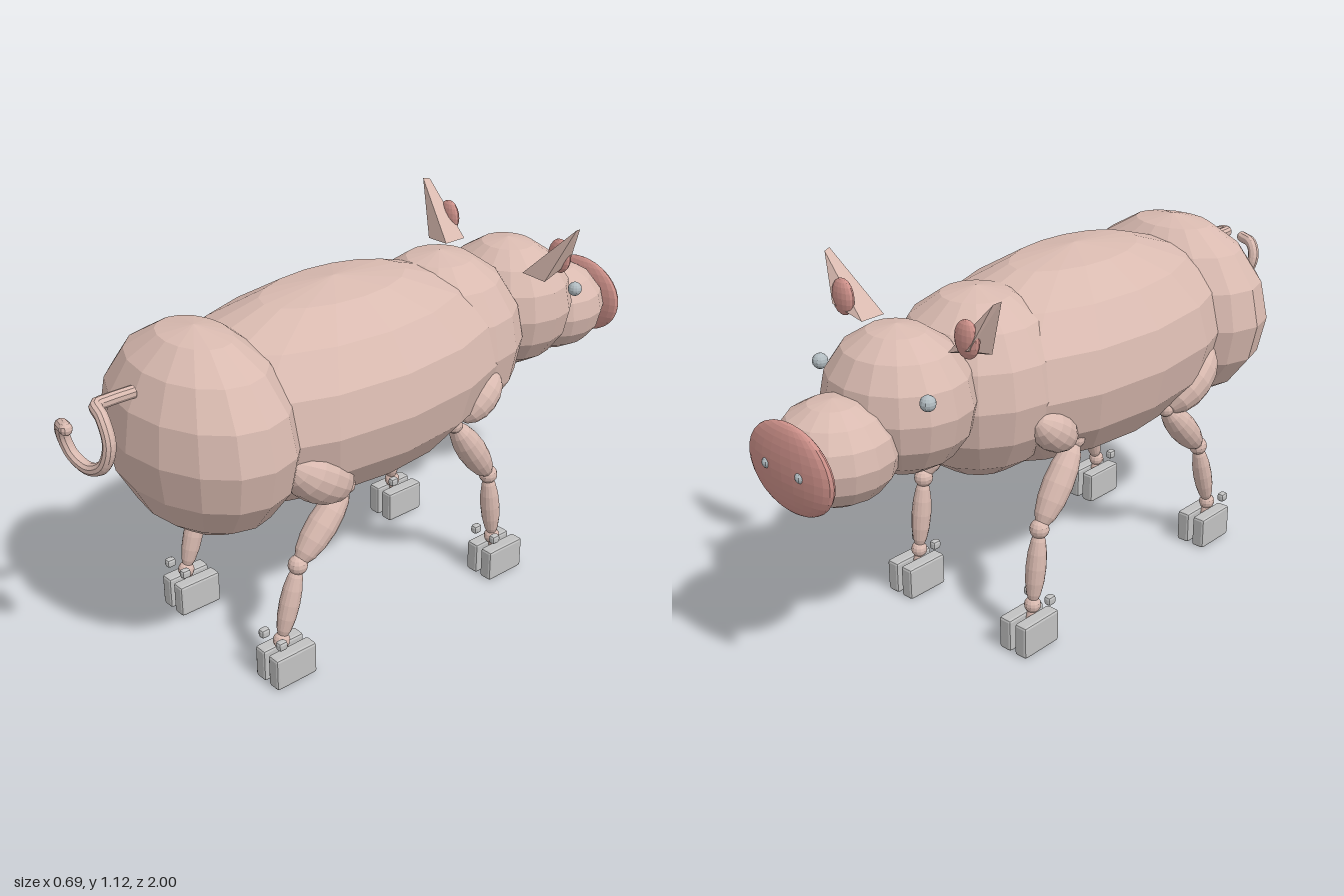
import * as THREE from 'three';
import { RoundedBoxGeometry } from 'three/addons/geometries/RoundedBoxGeometry.js';
import { ConvexGeometry } from 'three/addons/geometries/ConvexGeometry.js';

const material = (name, color, flatShading = true) => {
  const m = new THREE.MeshStandardMaterial({ color, flatShading });
  m.name = name;
  return m;
};

export function createModel() {
  const skin = material('skin', 0xd9bab0);
  const pink = material('pink', 0xcf928b);
  const horn = material('hoofGrey', 0xc2c2c2);
  const bead = material('eyeGrey', 0xb2bcc1);
  const pig = new THREE.Group();
  pig.name = 'pig';

  const add = (parent, name, geometry, mat, pos = [0, 0, 0]) => {
    const mesh = new THREE.Mesh(geometry, mat);
    mesh.name = name;
    mesh.position.set(...pos);
    parent.add(mesh);
    return mesh;
  };
  // Faceted ellipsoid with half-sizes r
  const blob = (parent, name, pos, r, mat = skin, w = 16, h = 8) =>
    add(parent, name, new THREE.SphereGeometry(1, w, h).scale(...r), mat, pos);
  // Long ellipsoid stretched between two points in the yz plane
  const limb = (parent, name, x, [z1, y1], [z2, y2], radius) => {
    const a = new THREE.Vector3(x, y1, z1), b = new THREE.Vector3(x, y2, z2);
    const d = b.clone().sub(a);
    const mid = a.add(b).multiplyScalar(0.5);
    const mesh = blob(parent, name, mid.toArray(), [radius, d.length() / 2, radius]);
    mesh.quaternion.setFromUnitVectors(new THREE.Vector3(0, 1, 0), d.normalize());
  };

  // Trunk, from rump to throat
  blob(pig, 'rump', [0, 0.74, 0.585], [0.34, 0.3, 0.235]);
  blob(pig, 'belly', [0, 0.742, 0.11], [0.345, 0.313, 0.64]);
  blob(pig, 'shoulders', [0, 0.753, -0.3], [0.262, 0.277, 0.26]);
  blob(pig, 'throat', [0, 0.62, -0.42], [0.14, 0.06, 0.09]);

  // Head and snout
  blob(pig, 'head', [0, 0.793, -0.595], [0.222, 0.208, 0.2]);
  blob(pig, 'snout', [0, 0.717, -0.82], [0.17, 0.145, 0.17]);
  blob(pig, 'noseDisc', [0, 0.717, -0.962], [0.165, 0.125, 0.033], pink, 24, 16);

  // Curly tail
  const tailPath = new THREE.CatmullRomCurve3([
    [0, 0.908, 0.78], [0, 0.908, 0.86], [0.005, 0.907, 0.895], [0.05, 0.892, 0.905],
    [0.082, 0.83, 0.91], [0.062, 0.765, 0.92], [0.01, 0.74, 0.933], [-0.045, 0.763, 0.947],
    [-0.065, 0.815, 0.958], [-0.045, 0.858, 0.97], [0, 0.868, 0.982],
  ].map((p) => new THREE.Vector3(...p)));
  add(pig, 'tail', new THREE.TubeGeometry(tailPath, 48, 0.018, 10), skin);
  blob(pig, 'tailTip', [0, 0.868, 0.982], [0.018, 0.018, 0.018], skin, 10, 6);

  // Leg points are [z, y]
  const legs = [
    { name: 'hindLeg', hip: [0.475, 0.685], thighEnd: [0.265, 0.535], thigh: 0.08,
      knee: [0.267, 0.54], hock: [0.445, 0.35], ankle: [0.51, 0.125], hoof: 0.495, claw: 0.54 },
    { name: 'foreLeg', hip: [-0.32, 0.705], thighEnd: [-0.175, 0.59], thigh: 0.06,
      knee: [-0.15, 0.585], hock: [-0.305, 0.36], ankle: [-0.335, 0.125], hoof: -0.35, claw: -0.305 },
  ];

  for (const side of [-1, 1]) {
    const label = side > 0 ? 'left' : 'right';

    // Face details
    blob(pig, label + 'Eye', [side * 0.209, 0.865, -0.685], [0.022, 0.022, 0.022], bead, 12, 8);
    blob(pig, label + 'Nostril', [side * 0.065, 0.722, -0.984], [0.016, 0.016, 0.016], bead, 12, 8);

    // Ear: tapered slanted plate with a pink inside
    const ear = [
      [0.165, 0.955, -0.49], [0.165, 0.955, -0.57], [0.26, 0.99, -0.59], [0.25, 0.95, -0.495],
      [0.325, 1.122, -0.535], [0.318, 1.118, -0.558],
    ].map(([x, y, z]) => new THREE.Vector3(side * x, y, z));
    add(pig, label + 'Ear', new ConvexGeometry(ear), skin);
    blob(pig, label + 'InnerEar', [side * 0.237, 1.01, -0.57], [0.042, 0.053, 0.02], pink, 16, 10);

    // Jointed legs with split hooves and dewclaws
    for (const l of legs) {
      const leg = new THREE.Group();
      leg.name = label + l.name[0].toUpperCase() + l.name.slice(1);
      pig.add(leg);
      const x = side * 0.237;
      const joint = (name, [z, y], r) => blob(leg, name, [x, y, z], [r, r, r], skin, 12, 8);
      limb(leg, 'thigh', x, l.hip, l.thighEnd, l.thigh);
      joint('knee', l.knee, 0.026);
      limb(leg, 'upperLeg', x, l.knee, l.hock, 0.045);
      joint('hock', l.hock, 0.029);
      limb(leg, 'lowerLeg', x, l.hock, l.ankle, 0.03);
      joint('ankle', l.ankle, 0.025);
      limb(leg, 'footCore', x, l.ankle, [l.hoof, 0.055], 0.014);
      for (const s of [-1, 1]) {
        add(leg, 'hoof', new RoundedBoxGeometry(0.044, 0.103, 0.142, 1, 0.008), horn,
          [x + s * 0.03, 0.0515, l.hoof]);
        add(leg, 'dewclaw', new RoundedBoxGeometry(0.024, 0.028, 0.03, 1, 0.008), horn,
          [x + s * 0.04, 0.143, l.claw]);
      }
    }
  }
  return pig;
}
